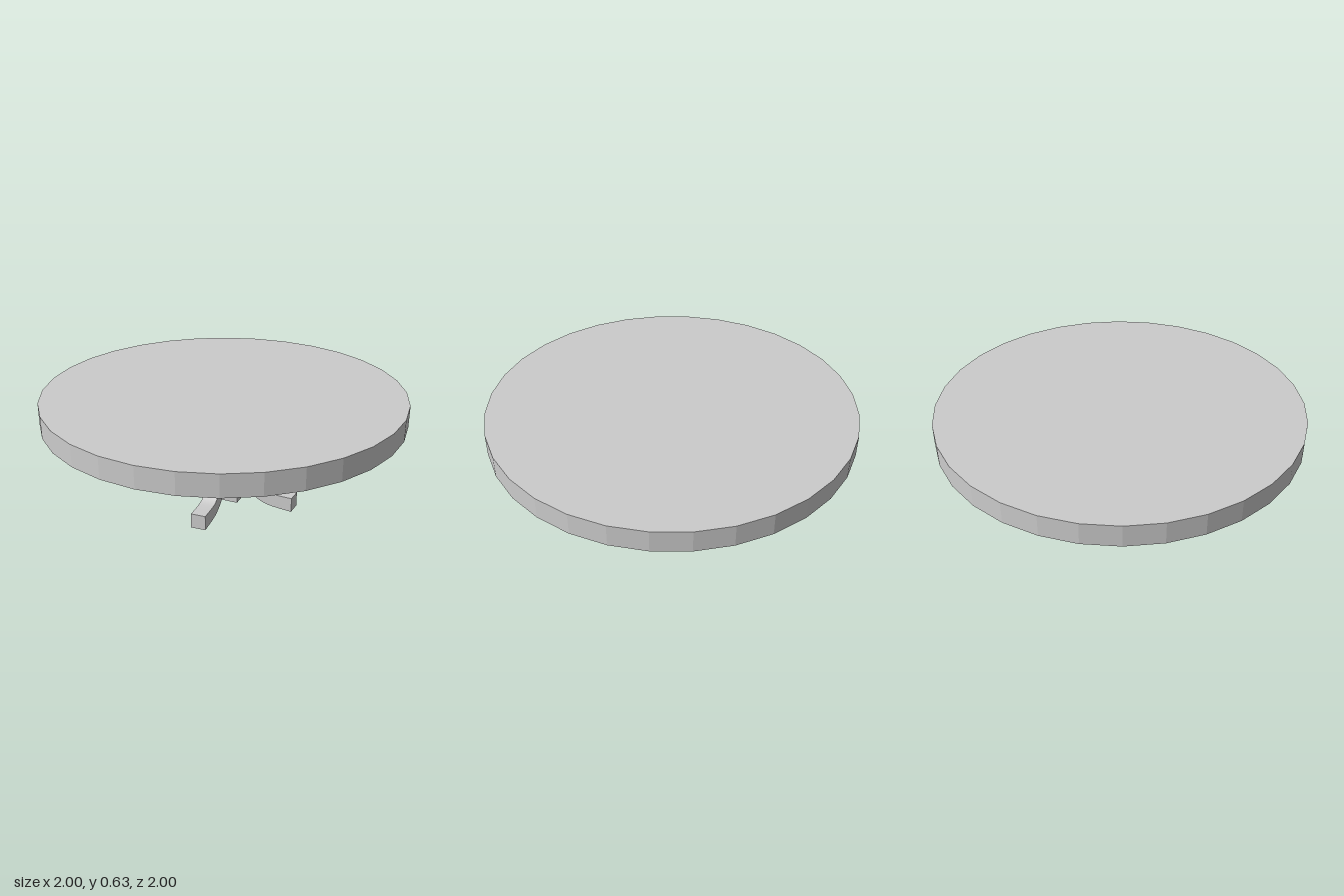
import * as THREE from 'three';
import { toCreasedNormals } from 'three/addons/utils/BufferGeometryUtils.js';

const material = new THREE.MeshStandardMaterial({ color: 0xcccccc });
const flatMaterial = new THREE.MeshStandardMaterial({ color: 0xcccccc, flatShading: true });

function addPart(group, name, geometry, x, y, z, mat = material) {
  const mesh = new THREE.Mesh(geometry, mat);
  mesh.name = name;
  mesh.position.set(x, y, z);
  group.add(mesh);
  return mesh;
}

// S-curved leg of square section, running outward along +x
function legGeometry() {
  const points = (list) => list.map(([x, y]) => new THREE.Vector2(x, y));
  const shape = new THREE.Shape();
  shape.moveTo(0.11, 0.155);
  shape.splineThru(points([[0.15, 0.16], [0.19, 0.15], [0.23, 0.12], [0.28, 0.093], [0.33, 0.085], [0.43, 0.085]]));
  shape.lineTo(0.43, 0.002);
  shape.splineThru(points([[0.33, 0.008], [0.27, 0.018], [0.22, 0.04], [0.18, 0.066], [0.15, 0.076], [0.11, 0.078]]));
  shape.closePath();
  const geometry = new THREE.ExtrudeGeometry(shape, { depth: 0.082, bevelEnabled: false, curveSegments: 3 });
  geometry.translate(0, 0, -0.041);
  return toCreasedNormals(geometry, 0.6);
}

export function createModel() {
  const group = new THREE.Group();
  group.name = 'pedestalTable';

  // Faceted round top
  addPart(group, 'tableTop', new THREE.CylinderGeometry(1, 1, 0.12, 32), 0, 0.57, 0, flatMaterial);

  // Slightly oval column
  const column = addPart(group, 'column', new THREE.CylinderGeometry(1, 1, 0.33, 32), 0.005, 0.355, -0.004);
  column.scale.set(0.108, 1, 0.118);

  // Block that carries the legs
  addPart(group, 'baseBlock', new THREE.BoxGeometry(0.256, 0.17, 0.264), 0.008, 0.115, -0.002);

  // Four legs in two crossing pairs, each pair slightly skewed
  const leg = legGeometry();
  const skew = 0.045;
  const legs = [
    ['leftLeg', -skew, 0.004, -0.002],
    ['rightLeg', Math.PI - skew, 0.004, -0.002],
    ['frontLeg', -Math.PI / 2 + skew, 0.019, 0],
    ['backLeg', Math.PI / 2 + skew, 0.019, 0],
  ];
  for (const [name, angle, x, z] of legs) {
    addPart(group, name, leg, x, 0, z).rotation.y = angle;
  }
  return group;
}
